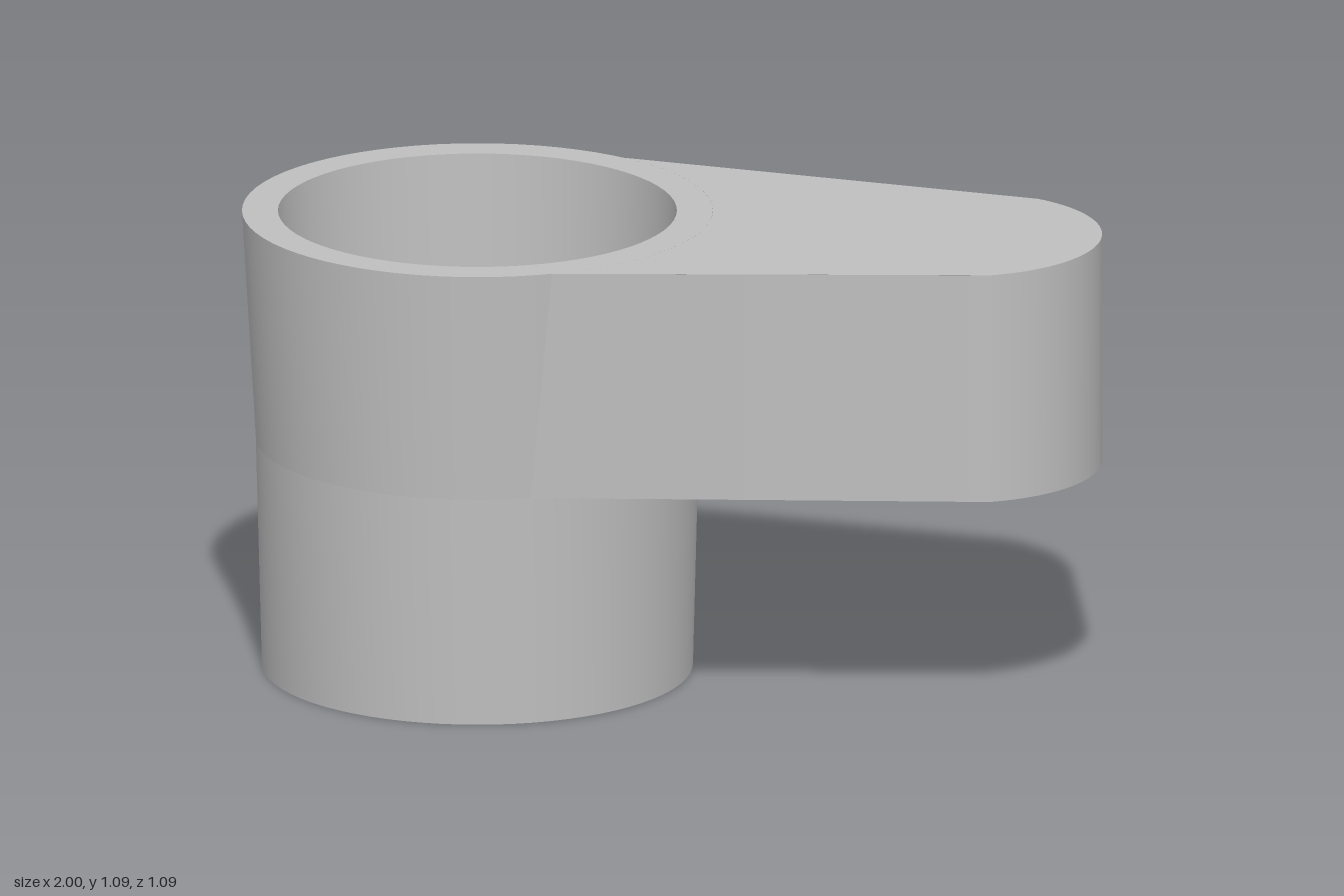
import * as THREE from 'three';
import { toCreasedNormals } from 'three/addons/utils/BufferGeometryUtils.js';

const TOP = 1.09, MID = 0.545;           // arm top and underside heights
const CUP_X = -0.457, CUP_R = 0.543;     // cup axis and rim radius
const TIP_X = 0.652, TIP_R = 0.348;      // rounded arm end
const G = 0.23, ELBOW = 0.64, G_END = 0.05; // channel radius, elbow and inner end
const CUP_ANGLE = Math.atan2(0.478, 0.257);
const TIP_ANGLE = Math.acos((0.8 - TIP_X) / TIP_R);

// Half-width of the arm along x
const halfWidth = x => x < 0.8
  ? 0.478 - (x + 0.2) * 0.162
  : Math.sqrt(Math.max(0, TIP_R ** 2 - (x - TIP_X) ** 2));

// Height of the underside channel: straight groove, round elbow, flared side exit
function channel(x, z) {
  if (x < G_END) return 0;
  const dx = Math.max(0, x - ELBOW);
  let h = Math.sqrt(Math.max(0, G * G - z * z - dx * dx));
  if (z < 0) {
    const right = 0.85 + (0.08 - z) * 0.645;
    const t = x < ELBOW ? (ELBOW - x) / 0.252 : (x - ELBOW) / (right - ELBOW);
    if (t < 1) h = Math.max(h, G * (x < ELBOW ? Math.sqrt(1 - t * t) : (1 - t) ** 0.6));
  }
  return h;
}

// Stations along the arm, closer together at steep edges
function stations() {
  const xs = [];
  const run = (n, f) => { for (let i = 0; i < n; i++) xs.push(f(i / n)); };
  run(16, t => -0.26 + t * (G_END - 0.0001 + 0.26));
  xs.push(G_END - 0.0001);
  run(14, t => G_END + t * (0.388 - G_END));
  run(16, t => ELBOW - 0.252 * Math.cos(t * Math.PI / 2));
  run(12, t => ELBOW + t * (0.8 - ELBOW));
  run(28, t => TIP_X + TIP_R * Math.cos(TIP_ANGLE * (1 - t)));
  xs.push(TIP_X + TIP_R);
  return xs;
}

// Positions across the arm, from back to front
function rows(w) {
  const m = Math.min(G, w), zs = [];
  for (let i = 0; i < 12; i++) zs.push(-w + (w - m) * i / 12);
  for (let i = 0; i < 32; i++) zs.push(m * Math.sin((i / 32 - 0.5) * Math.PI));
  for (let i = 0; i <= 12; i++) zs.push(m + (w - m) * i / 12);
  return zs;
}

// Underside with channel, plus the side walls
function armBody() {
  const pos = [];
  const tri = (...pts) => pts.forEach(p => pos.push(...p));
  const quad = (a, b, c, d) => { tri(a, b, c); tri(a, c, d); };
  const xs = stations();
  const grid = xs.map(x => {
    const w = halfWidth(x) - 0.018 * Math.max(0, 0.8 - x);
    return rows(w).map(z => [x, MID + channel(x, z), z]);
  });
  for (let i = 0; i < xs.length - 1; i++) {
    const p = grid[i], q = grid[i + 1], last = p.length - 1;
    for (let j = 0; j < last; j++) {
      // leave the cup cavity open
      const cx = (p[j][0] + q[j][0]) / 2 - CUP_X, cz = (p[j][2] + p[j + 1][2]) / 2;
      if (Math.hypot(cx, cz) > 0.475) quad(p[j], q[j], q[j + 1], p[j + 1]);
    }
    const a = [xs[i], TOP, halfWidth(xs[i])], b = [xs[i + 1], TOP, halfWidth(xs[i + 1])];
    quad(p[last], q[last], b, a);
    quad(q[0], p[0], [a[0], TOP, -a[2]], [b[0], TOP, -b[2]]);
  }
  const geo = new THREE.BufferGeometry();
  geo.setAttribute('position', new THREE.Float32BufferAttribute(pos, 3));
  return toCreasedNormals(geo, 0.5);
}

// Flat arm top, meeting the cup rim along an arc
function armTop() {
  const s = new THREE.Shape();
  s.moveTo(-0.2, -0.478);
  s.lineTo(0.8, -halfWidth(0.8));
  s.absarc(TIP_X, 0, TIP_R, -TIP_ANGLE, TIP_ANGLE, false);
  s.lineTo(-0.2, 0.478);
  s.absarc(CUP_X, 0, CUP_R, CUP_ANGLE, -CUP_ANGLE, true);
  return new THREE.ShapeGeometry(s, 32).rotateX(-Math.PI / 2).translate(0, TOP, 0);
}

function lathe(points, start = 0, length = Math.PI * 2) {
  const geo = new THREE.LatheGeometry(points.map(p => new THREE.Vector2(...p)), 72, start, length);
  return toCreasedNormals(geo, 0.5).translate(CUP_X, 0, 0);
}

export function createModel() {
  const group = new THREE.Group();
  const grey = new THREE.MeshStandardMaterial({ color: 0xbfbfbf });
  grey.name = 'light grey';
  const add = (name, geo) => {
    const mesh = new THREE.Mesh(geo, grey);
    mesh.name = name;
    group.add(mesh);
  };

  // Cup: base, upper wall outside the arm, rim with stepped bore
  add('cupBase', lathe([[0.228, 0], [0.497, 0], [0.511, MID]]));
  add('cupUpperWall', lathe([[0.511, MID], [CUP_R, TOP]],
    Math.PI / 2 + CUP_ANGLE, 2 * (Math.PI - CUP_ANGLE)));
  add('cupBore', lathe([[CUP_R, TOP], [0.46, TOP], [0.43, 0.32], [0.228, 0.1], [0.228, 0]]));

  // Arm with the channel in its underside
  add('armBody', armBody());
  add('armTop', armTop());
  return group;
}
